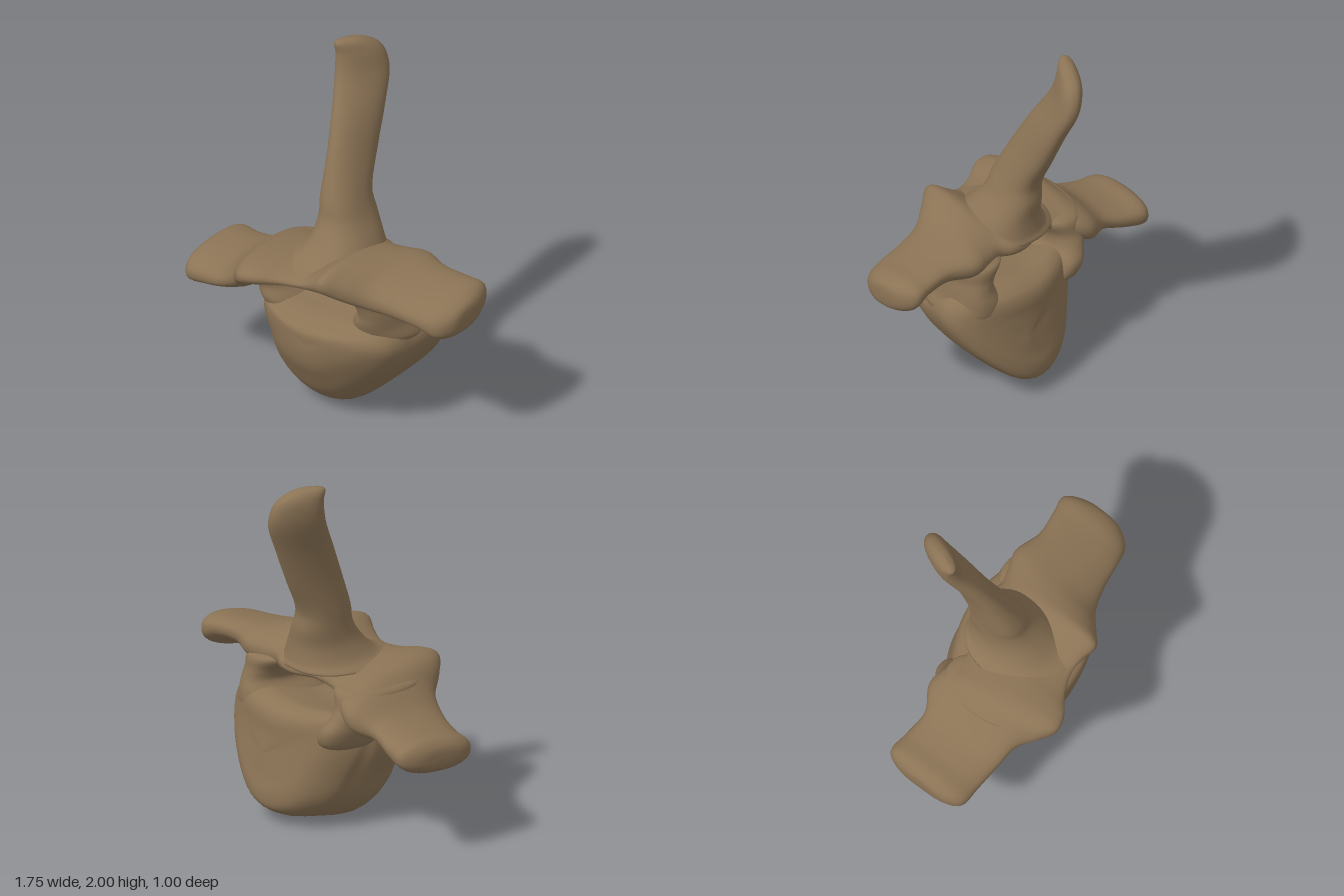
import * as THREE from 'three';

const V = (x, y, z) => new THREE.Vector3(x, y, z);
const SIDES = 48;

// Rounded cross-section spanned by half-axes u and v (n > 2 makes it squarer)
function ring(c, u, v, n = 2.3) {
  return Array.from({ length: SIDES }, (_, j) => {
    const a = (j / SIDES) * Math.PI * 2;
    const bend = (k) => Math.sign(k) * Math.abs(k) ** (2 / n);
    return c.clone().addScaledVector(u, bend(Math.cos(a))).addScaledVector(v, bend(Math.sin(a)));
  });
}
const pole = (x, y, z) => Array.from({ length: SIDES }, () => V(x, y, z));

// Smooth closed skin through a list of rings; first and last rings are poles
function loft(name, rings, material, steps = 5) {
  const rows = (rings.length - 1) * steps;
  const columns = Array.from({ length: SIDES }, (_, j) =>
    new THREE.CatmullRomCurve3(rings.map((r) => r[j])).getPoints(rows));
  const pos = [...rings[0][0].toArray()];
  const index = [];
  for (let i = 1; i < rows; i++) for (const col of columns) pos.push(...col[i].toArray());
  const end = pos.length / 3;
  pos.push(...rings[rings.length - 1][0].toArray());
  for (let j = 0; j < SIDES; j++) {
    const k = (j + 1) % SIDES;
    index.push(0, 1 + k, 1 + j);
    for (let i = 0; i < rows - 2; i++) {
      const a = 1 + i * SIDES, b = a + SIDES;
      index.push(a + j, a + k, b + j, a + k, b + k, b + j);
    }
    const a = 1 + (rows - 2) * SIDES;
    index.push(a + j, a + k, end);
  }
  const g = new THREE.BufferGeometry();
  g.setAttribute('position', new THREE.Float32BufferAttribute(pos, 3));
  g.setIndex(index);
  g.computeVertexNormals();
  const mesh = new THREE.Mesh(g, material);
  mesh.name = name;
  return mesh;
}

// Heart-shaped vertebral body, swept from the bowed back face to the domed front
function makeBody(material) {
  const outline = new THREE.CatmullRomCurve3([
    [0.02, 0], [0.17, 0.04], [0.34, 0.18], [0.5, 0.37], [0.555, 0.53], [0.48, 0.63], [0.22, 0.64],
    [0, 0.62], [-0.25, 0.62], [-0.36, 0.6], [-0.37, 0.48], [-0.3, 0.28], [-0.24, 0.13], [-0.12, 0.03],
  ].map(([x, y]) => V(x, y, 0)), true).getSpacedPoints(SIDES).slice(0, SIDES);
  // z, width scale, bottom, top, sideways shift
  const sections = [
    [-0.405, 0.4, 0.26, 0.5, 0.03], [-0.41, 0.7, 0.17, 0.59, 0.03], [-0.39, 0.87, 0.1, 0.64, 0.03],
    [-0.31, 0.97, 0.05, 0.67, 0.01], [-0.18, 0.97, 0.02, 0.66, 0], [0, 0.96, 0, 0.63, -0.02],
    [0.1, 0.96, 0.03, 0.62, -0.025], [0.2, 0.93, 0.12, 0.61, -0.03], [0.27, 0.82, 0.24, 0.59, -0.03],
    [0.315, 0.6, 0.33, 0.57, -0.03], [0.335, 0.3, 0.42, 0.54, -0.03],
  ];
  const rings = sections.map(([z, s, bottom, top, dx]) => outline.map((p) => {
    const x = 0.08 + dx + (p.x - 0.08) * s;
    const y = bottom + (p.y / 0.63) * (top - bottom);
    const back = Math.min(1, Math.max(0, -z / 0.35));
    const front = Math.min(1, Math.max(0, z / 0.3));
    return V(x, y, z + back * (0.15 * (y - 0.25) + 0.8 * (x - 0.17) ** 2) - front * 0.35 * (x - 0.04) ** 2);
  }));
  return loft('vertebralBody', [pole(0.13, 0.38, -0.385), ...rings, pole(0.05, 0.48, 0.337)], material);
}

// Side processes, canal roof and front joint lobes, one sweep from right tip to left tip
function makeArch(material) {
  // x, centre y, half height, back z, front z, tilt
  const sections = [
    [-0.865, 0.575, 0.06, -0.11, 0.21, -0.01], [-0.82, 0.58, 0.095, -0.19, 0.285, -0.02],
    [-0.7, 0.595, 0.085, -0.18, 0.3, -0.02], [-0.55, 0.64, 0.08, -0.165, 0.32, -0.02],
    [-0.43, 0.705, 0.115, -0.23, 0.35, 0], [-0.35, 0.77, 0.11, -0.22, 0.44, 0.03],
    [-0.27, 0.81, 0.09, -0.17, 0.5, 0.03], [-0.19, 0.83, 0.07, -0.15, 0.485, 0.02],
    [-0.08, 0.845, 0.052, -0.19, 0.41, 0], [0.04, 0.85, 0.055, -0.25, 0.365, 0],
    [0.13, 0.875, 0.085, -0.26, 0.375, 0.01], [0.21, 0.895, 0.1, -0.23, 0.4, 0.025],
    [0.29, 0.875, 0.11, -0.25, 0.34, 0.01], [0.4, 0.855, 0.105, -0.28, 0.255, -0.02],
    [0.55, 0.845, 0.085, -0.235, 0.205, -0.035], [0.7, 0.83, 0.08, -0.25, 0.18, -0.04],
    [0.8, 0.805, 0.1, -0.265, 0.15, -0.04], [0.86, 0.8, 0.07, -0.17, 0.07, -0.02],
  ];
  const rings = sections.map(([x, y, hy, z0, z1, tilt]) =>
    ring(V(x, y, (z0 + z1) / 2), V(0, hy, 0), V(0, tilt, (z1 - z0) / 2)));
  return loft('archAndSideProcesses', [pole(-0.875, 0.57, 0.05), ...rings, pole(0.873, 0.8, -0.05)], material);
}

// Upright sweep; sections are x, y, z, half width, half depth, twist
function upright(name, first, sections, last, material) {
  const rings = sections.map(([x, y, z, hx, hz, twist = 0]) => {
    const s = Math.sin(twist), c = Math.cos(twist);
    return ring(V(x, y, z), V(-s * hz, 0, c * hz), V(c * hx, 0, s * hx));
  });
  return loft(name, [pole(...first), ...rings, pole(...last)], material);
}

export function createModel() {
  const bone = new THREE.MeshStandardMaterial({ color: 0x8b7355 });
  bone.name = 'bone brown';
  const model = new THREE.Group();
  model.name = 'vertebra';

  model.add(makeBody(bone), makeArch(bone));

  // Tall blade, flared at the root and twisted toward the tip
  model.add(upright('spine', [0.03, 0.85, 0.04], [
    [0.03, 0.87, 0.04, 0.27, 0.3], [0.03, 0.91, 0.0, 0.215, 0.25], [0.025, 1.0, -0.04, 0.165, 0.2],
    [0, 1.1, -0.075, 0.13, 0.17], [-0.02, 1.2, -0.085, 0.11, 0.155, 0.05],
    [-0.052, 1.4, -0.17, 0.083, 0.16, 0.15], [-0.087, 1.6, -0.26, 0.073, 0.16, 0.28],
    [-0.135, 1.8, -0.35, 0.068, 0.155, 0.42], [-0.16, 1.92, -0.35, 0.06, 0.13, 0.45],
    [-0.185, 1.985, -0.3, 0.035, 0.08, 0.45],
  ], [-0.19, 2, -0.29], bone));

  // Walls either side of the canal, flaring into the body and the arch
  model.add(upright('leftPedicle', [0.32, 0.53, -0.08], [
    [0.32, 0.55, -0.08, 0.2, 0.24], [0.345, 0.64, -0.06, 0.155, 0.27],
    [0.365, 0.71, -0.045, 0.125, 0.265], [0.35, 0.77, -0.03, 0.135, 0.265],
    [0.32, 0.85, -0.01, 0.17, 0.27],
  ], [0.32, 0.87, -0.01], bone));
  model.add(upright('rightPedicle', [-0.23, 0.48, -0.03], [
    [-0.23, 0.5, -0.03, 0.12, 0.22], [-0.27, 0.59, -0.01, 0.125, 0.27],
    [-0.31, 0.67, 0.01, 0.11, 0.25], [-0.32, 0.73, 0.04, 0.125, 0.25],
    [-0.29, 0.82, 0.08, 0.15, 0.26],
  ], [-0.29, 0.84, 0.08], bone));
  return model;
}
